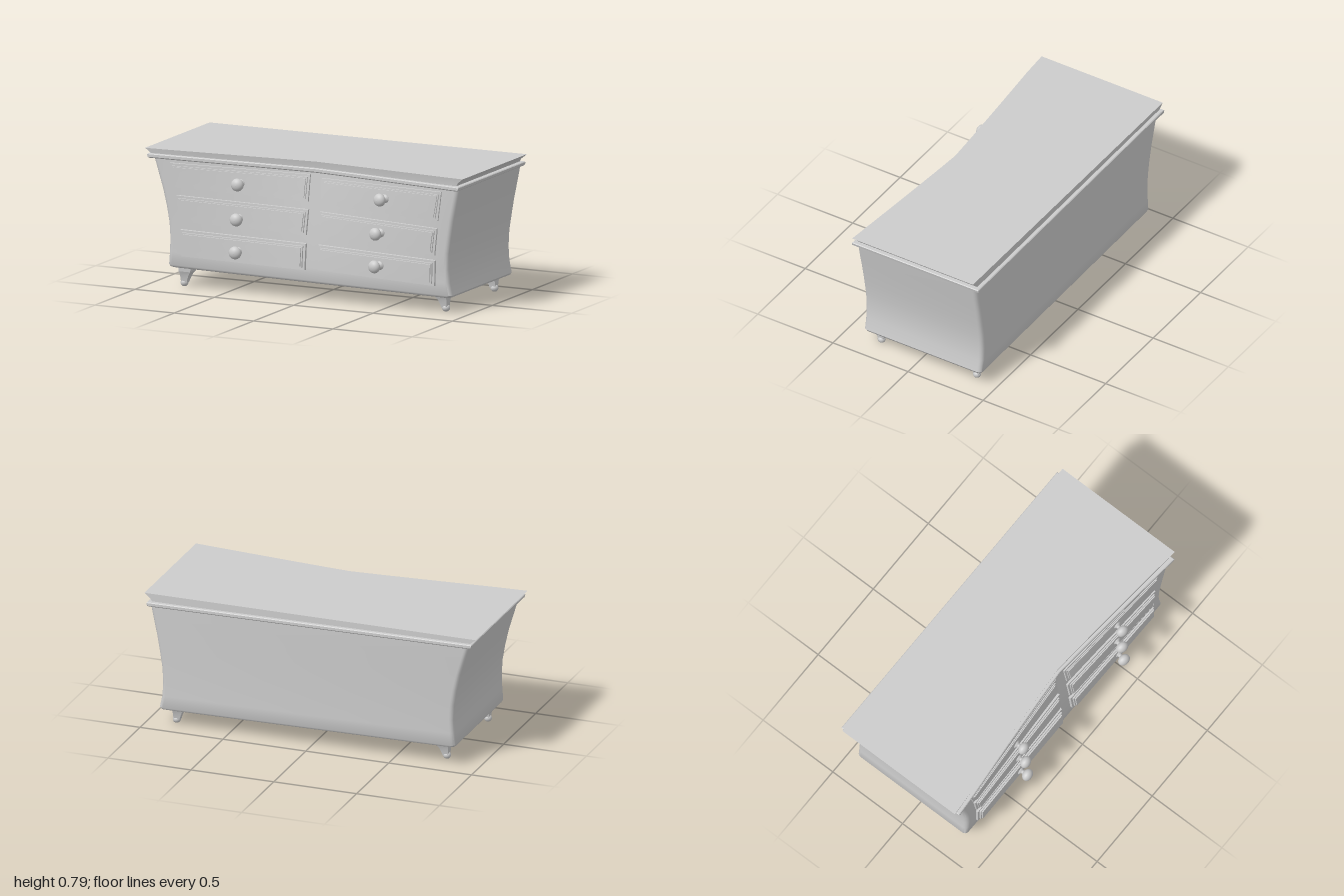
import * as THREE from 'three';
import { mergeVertices, toCreasedNormals } from 'three/addons/utils/BufferGeometryUtils.js';

const material = new THREE.MeshStandardMaterial({ color: 0xcccccc, side: THREE.DoubleSide });
const lerp = THREE.MathUtils.lerp;
const BEND = 0.04; // x of the crease where the front folds inward

// Skin a stack of closed rings (arrays of [x, y, z], bottom to top) and cap both ends
function loft(rings, crease = 0.5) {
  const n = rings[0].length, points = rings.flat(), index = [];
  for (let i = 0; i < rings.length - 1; i++) {
    for (let j = 0; j < n; j++) {
      const a = i * n + j, b = i * n + (j + 1) % n;
      index.push(a, b, b + n, a, b + n, a + n);
    }
  }
  for (const end of [0, rings.length - 1]) {
    const centre = [0, 1, 2].map(k => rings[end].reduce((s, p) => s + p[k], 0) / n);
    const c = points.push(centre) - 1;
    for (let j = 0; j < n; j++) {
      const a = end * n + j, b = end * n + (j + 1) % n;
      index.push(c, ...(end ? [a, b] : [b, a]));
    }
  }
  const g = new THREE.BufferGeometry();
  g.setAttribute('position', new THREE.Float32BufferAttribute(points.flat(), 3));
  g.setIndex(index);
  return toCreasedNormals(mergeVertices(g), crease);
}

// Front depth: straight near the floor, folded inward more and more towards the top
function frontZ(x, y) {
  const t = THREE.MathUtils.clamp((y - 0.1) / 0.63, 0, 1);
  const end = lerp(0.35, 0.362, t), middle = 0.352 - 0.06 * Math.pow(t, 1.4);
  return lerp(middle, end, Math.min(1, Math.abs(x - BEND) / 0.9));
}

// Horizontal outline with rounded corners, a folded front edge and a slight sideways tilt
function outline(y, xl, xr, front, back, r, tilt) {
  const pts = [];
  const put = (x, z) => pts.push([x, y - tilt * x, z]);
  const corner = (cx, cz, from) => {
    for (let k = 0; k <= 4; k++) {
      const a = from + (k / 4) * Math.PI / 2;
      put(cx + r * Math.cos(a), cz - r * Math.sin(a));
    }
  };
  const addCorner = (x, z, cx, cz, from) => (r ? corner(cx, cz, from) : put(x, z));
  addCorner(xl, front(xl), xl + r, front(xl) - r, Math.PI);
  for (let k = 1; k < 12; k++) {
    const x = k < 6 ? lerp(xl + r, BEND, k / 6) : lerp(BEND, xr - r, (k - 6) / 6);
    put(x, front(x));
  }
  addCorner(xr, front(xr), xr - r, front(xr) - r, -Math.PI / 2);
  addCorner(xr, back, xr - r, back + r, 0);
  addCorner(xl, back, xl + r, back + r, Math.PI / 2);
  return pts;
}

function add(parent, name, geometry) {
  const mesh = new THREE.Mesh(geometry, material);
  mesh.name = name;
  parent.add(mesh);
  return mesh;
}

// Panel stretched between four corners [x, y] (tl, tr, br, bl), lying on the front
function panel(corners, inset, depth) {
  const [tl, tr, br, bl] = corners;
  const g = new THREE.BoxGeometry(1, 1, 1, 6, 4, 1);
  const p = g.attributes.position;
  for (let i = 0; i < p.count; i++) {
    const isFront = p.getZ(i) > 0, u = p.getX(i) + 0.5, v = p.getY(i) + 0.5;
    const m = inset + (isFront ? 0.004 : 0);
    const x = lerp(lerp(bl[0], br[0], u), lerp(tl[0], tr[0], u), v) + m * (1 - 2 * u);
    const y = lerp(lerp(bl[1], br[1], u), lerp(tl[1], tr[1], u), v) + m * (1 - 2 * v);
    p.setXYZ(i, x, y, frontZ(x, y) + (isFront ? depth : -0.03));
  }
  return toCreasedNormals(g, 0.4);
}

function knobGeometry() {
  const profile = [[0, -0.01], [0.026, -0.01], [0.025, 0.002], [0.015, 0.008], [0.011, 0.016], [0.016, 0.022]];
  for (let k = 0; k <= 10; k++) {
    const a = lerp(-0.95, Math.PI / 2, k / 10);
    profile.push([0.037 * Math.cos(a), 0.047 + 0.028 * Math.sin(a)]);
  }
  return new THREE.LatheGeometry(profile.map(([x, y]) => new THREE.Vector2(Math.max(x, 0), y)), 24)
    .rotateX(Math.PI / 2);
}

export function createModel() {
  const model = new THREE.Group();
  model.name = 'dresser';

  // Body with flared sides: y, left x, right x, inset for the rounded bottom
  const levels = [
    [0.102, -0.87, 0.915, 0.018], [0.107, -0.87, 0.915, 0.006], [0.118, -0.87, 0.915, 0],
    [0.19, -0.864, 0.9, 0], [0.27, -0.86, 0.895, 0], [0.36, -0.865, 0.9, 0],
    [0.45, -0.88, 0.914, 0], [0.55, -0.903, 0.931, 0], [0.65, -0.933, 0.952, 0], [0.742, -0.96, 0.97, 0],
  ];
  add(model, 'body', loft(levels.map(([y, xl, xr, d]) =>
    outline(y, xl + d, xr - d, x => frontZ(x, y) - d, -0.43 + d, 0.025, 0.012)), 0.7));

  // Trim moulding and flared top board
  const folded = (end, middle) => x =>
    lerp(middle, end, Math.pow(Math.min(1, Math.abs(x - BEND) / 0.98), 1.1));
  const trim = [[0.728, 0.968, 0.006], [0.734, 0.976, 0], [0.749, 0.98, 0], [0.753, 0.976, 0.004]];
  add(model, 'trim', loft(trim.map(([y, w, d]) =>
    outline(y, -w, w, folded(0.391 - d, 0.303 - d), -0.455 + d, 0, 0.01))));
  add(model, 'topBoard', loft([[0.745, 0.955, 0.366], [0.762, 0.965, 0.368], [0.79, 1, 0.374]].map(([y, w, f]) =>
    outline(y, -w, w, folded(f, f - 0.082), -0.432, 0, 0))));

  // Drawers: corners tl, tr, br, bl, then knob position and projection
  const drawers = [
    [[[-0.85, 0.72], [0.01, 0.72], [0.005, 0.56], [-0.82, 0.573]], -0.41, 0.635, 0.02],
    [[[-0.81, 0.537], [0.01, 0.522], [0.003, 0.37], [-0.79, 0.382]], -0.41, 0.437, 0.026],
    [[[-0.785, 0.342], [0.005, 0.33], [0.003, 0.172], [-0.78, 0.182]], -0.41, 0.25, 0.032],
    [[[0.075, 0.706], [0.865, 0.706], [0.842, 0.53], [0.08, 0.552]], 0.5, 0.63, 0.02],
    [[[0.075, 0.517], [0.838, 0.494], [0.822, 0.332], [0.08, 0.352]], 0.48, 0.435, 0.026],
    [[[0.075, 0.33], [0.826, 0.31], [0.822, 0.156], [0.08, 0.18]], 0.48, 0.25, 0.032],
  ];
  const knob = knobGeometry();
  for (const [corners, kx, ky, depth] of drawers) {
    const drawer = new THREE.Group();
    drawer.name = 'drawer';
    add(drawer, 'drawerFrame', panel(corners, 0, depth * 0.45));
    add(drawer, 'drawerStep', panel(corners, 0.014, depth * 0.75));
    add(drawer, 'drawerPanel', panel(corners, 0.022, depth));
    const k = add(drawer, 'knob', knob);
    k.position.set(kx, ky, frontZ(kx, ky) + depth);
    k.rotation.y = kx > 0 ? -0.2 : 0.08;
    model.add(drawer);
  }

  // Feet: a tapered square block over a ball
  const square = (y, h, shift) => [[-1, 1], [1, 1], [1, -1], [-1, -1]]
    .map(([sx, sz]) => [shift + sx * h, y, sz * h]);
  for (const [x, z] of [[-0.787, 0.292], [-0.775, -0.315], [0.84, 0.272], [0.828, -0.355]]) {
    const foot = new THREE.Group();
    foot.name = 'foot';
    const lean = -Math.sign(x) * 0.006;
    add(foot, 'footBlock', loft([[0.025, 0.017, 0], [0.04, 0.02, 0], [0.07, 0.027, lean], [0.09, 0.036, lean * 2],
      [0.125, 0.04, lean * 2]].map(([y, h, s]) => square(y, h, s)), 0.2));
    add(foot, 'footBall', new THREE.SphereGeometry(0.023, 16, 12)).position.set(-lean, 0.022, 0);
    foot.children[1].scale.y = 0.022 / 0.023;
    foot.position.set(x, 0, z);
    model.add(foot);
  }
  return model;
}
